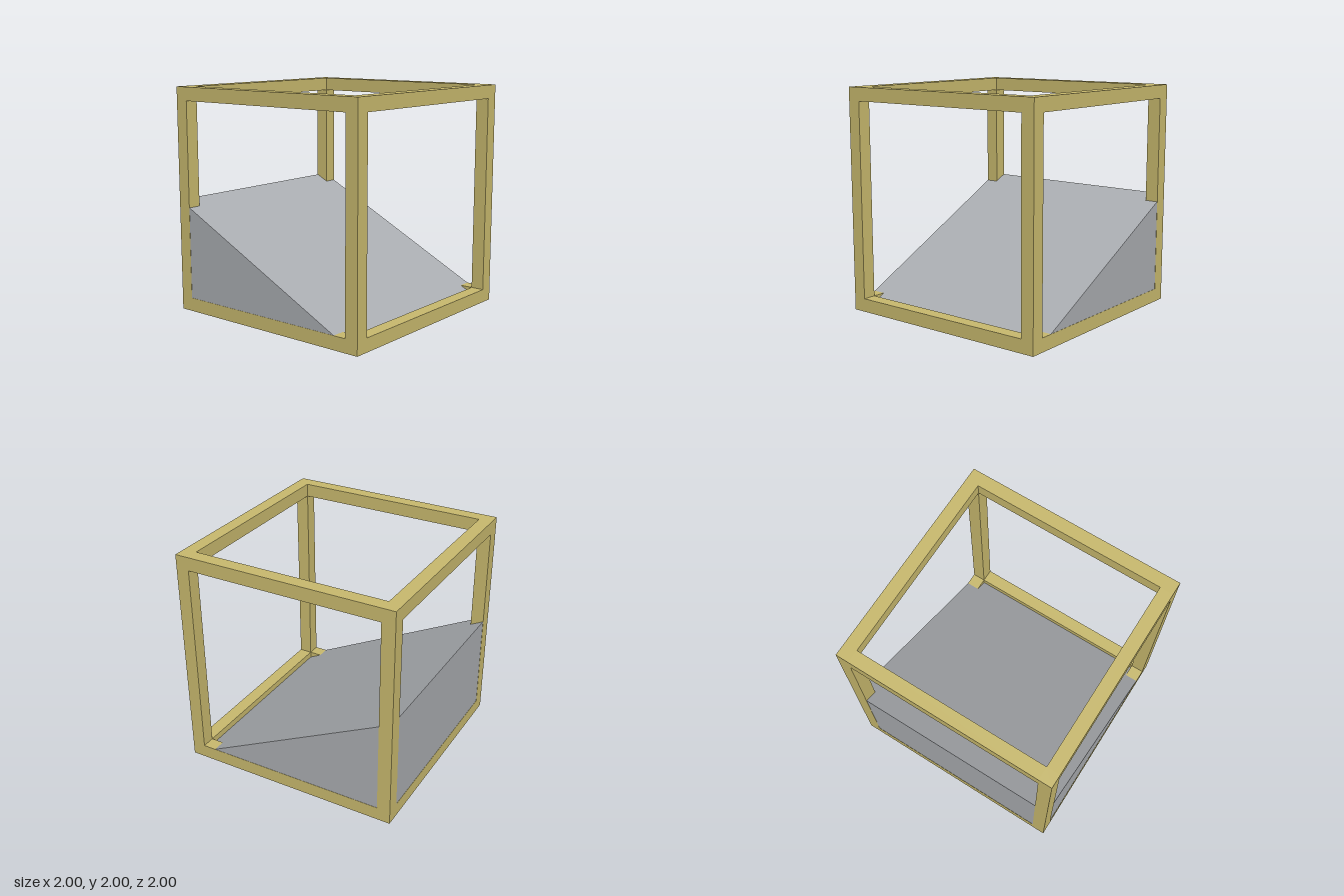
import * as THREE from 'three';

const S = 2;        // outer size of the cube
const T = 0.12;     // bar thickness
const H = S / 2;
const C = H - T / 2; // bar centre line

export function createModel() {
  const model = new THREE.Group();
  model.name = 'rampInFrame';

  const yellow = new THREE.MeshStandardMaterial({ color: 0xc9ba6e });
  yellow.name = 'sandYellow';
  const grey = new THREE.MeshStandardMaterial({ color: 0xaaadb1 });
  grey.name = 'slopeGrey';

  // Open cube frame: four posts, with rails fitted between them
  const frame = new THREE.Group();
  frame.name = 'frame';
  const bar = (name, w, h, d, x, y, z) => {
    const mesh = new THREE.Mesh(new THREE.BoxGeometry(w, h, d), yellow);
    mesh.name = name;
    mesh.position.set(x, y, z);
    frame.add(mesh);
  };
  const inner = S - 2 * T;
  for (const a of [-1, 1]) {
    for (const b of [-1, 1]) {
      bar('post', T, S, T, a * C, H, b * C);
      bar('crossRail', inner, T, T, 0, H + a * C, b * C);
      bar('sideRail', T, T, inner, a * C, H + b * C, 0);
    }
  }
  model.add(frame);

  // Solid ramp, high on the right (-x), set a hair inside the frame faces
  const e = H - 0.002;
  const profile = new THREE.Shape();
  profile.moveTo(-e, 0.002);
  profile.lineTo(e, 0.002);
  profile.lineTo(-e, H);
  profile.closePath();
  const wedge = new THREE.ExtrudeGeometry(profile, { depth: 2 * e, bevelEnabled: false });
  wedge.translate(0, 0, -e);
  const ramp = new THREE.Mesh(wedge, grey);
  ramp.name = 'ramp';
  model.add(ramp);

  return model;
}
